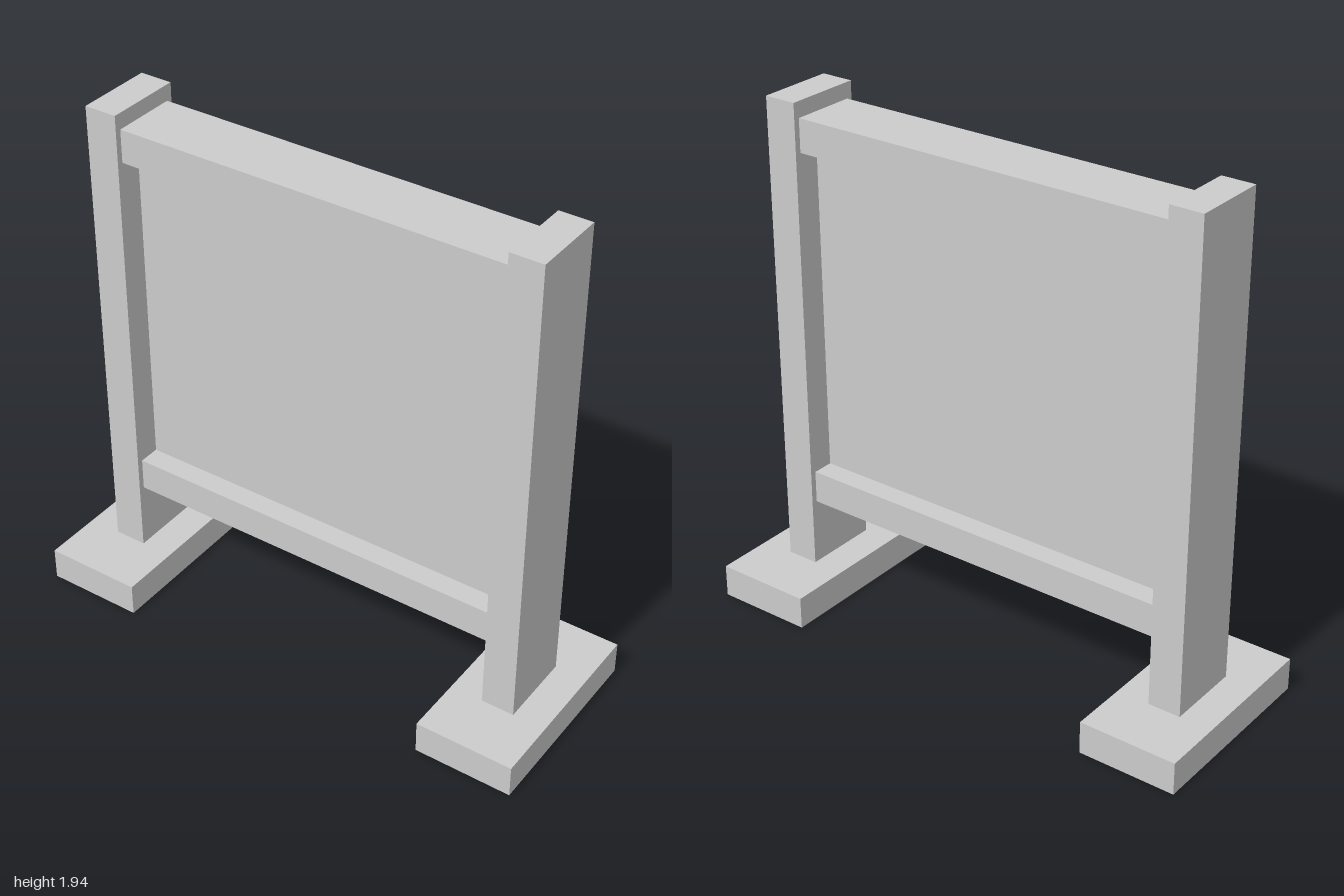
import * as THREE from 'three';

export function createModel() {
  const model = new THREE.Group();
  const material = new THREE.MeshStandardMaterial({ color: 0xcccccc, flatShading: true });

  // Box resting on height y, centred on x and z = 0
  const addBox = (name, width, height, depth, x, y) => {
    const mesh = new THREE.Mesh(new THREE.BoxGeometry(width, height, depth), material);
    mesh.name = name;
    mesh.position.set(x, y + height / 2, 0);
    model.add(mesh);
  };

  // Feet and upright posts, mirrored
  for (const [side, s] of [['left', 1], ['right', -1]]) {
    addBox(side + 'Foot', 0.375, 0.125, 0.745, s * 0.8125, 0);
    addBox(side + 'Post', 0.125, 1.815, 0.296, s * 0.8125, 0.125);
  }

  // Rails between the posts
  addBox('bottomRail', 1.5, 0.125, 0.25, 0, 0.38);
  addBox('topRail', 1.5, 0.125, 0.25, 0, 1.755);

  // Thin board recessed between the rails
  addBox('panel', 1.5, 1.25, 0.085, 0, 0.505);

  return model;
}
